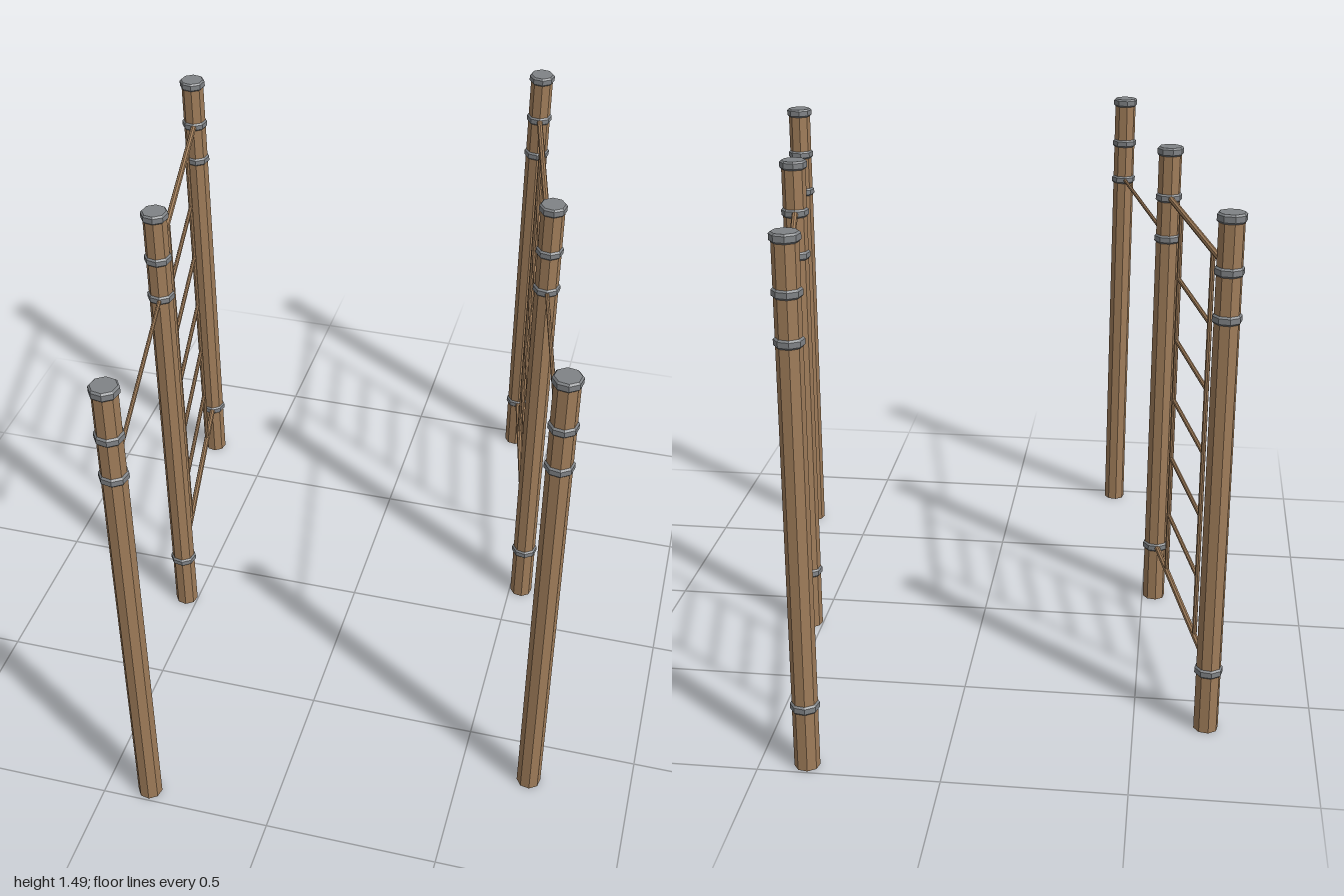
import * as THREE from 'three';

const wood = new THREE.MeshStandardMaterial({ color: 0xa07d5a, flatShading: true });
wood.name = 'brown wood';
const metal = new THREE.MeshStandardMaterial({ color: 0x808386, flatShading: true });
metal.name = 'grey metal';

const SPACING = 0.816; // distance between neighbouring posts
const POST_R = 0.035, RING_R = 0.04;
const LOW = 0.185, HIGH = 1.337, PULL_UP = 1.21;

function add(parent, name, geometry, material, x, y, z) {
  const mesh = new THREE.Mesh(geometry, material);
  mesh.name = name;
  mesh.position.set(x, y, z);
  parent.add(mesh);
  return mesh;
}

// Horizontal round bar running along z
function bar(parent, name, y, z0, z1, r) {
  const g = new THREE.CylinderGeometry(r, r, Math.abs(z1 - z0), 8).rotateX(Math.PI / 2);
  return add(parent, name, g, wood, 0, y, (z0 + z1) / 2);
}

// Eight-sided band with bevelled rims
function band(r, h) {
  const b = 0.005;
  const profile = [[0, -h / 2], [r - b, -h / 2], [r, -h / 2 + b], [r, h / 2 - b], [r - b, h / 2], [0, h / 2]];
  return new THREE.LatheGeometry(profile.map(([x, y]) => new THREE.Vector2(x, y)), 8);
}

function post(z, ringHeights) {
  const group = new THREE.Group();
  group.name = 'post';
  group.position.z = z;
  add(group, 'postShaft', new THREE.CylinderGeometry(POST_R, POST_R, 1.47, 8), wood, 0, 0.735, 0);
  add(group, 'postCap', band(RING_R, 0.026), metal, 0, 1.477, 0);
  for (const y of ringHeights) add(group, 'collar', band(RING_R, 0.025), metal, 0, y, 0);
  return group;
}

// Three posts in a row: wall bars behind, pull-up bar in front
function frame(name, x, z) {
  const group = new THREE.Group();
  group.name = name;
  group.add(post(-SPACING, [LOW, PULL_UP, HIGH]));
  group.add(post(0, [LOW, PULL_UP, HIGH]));
  group.add(post(SPACING, [PULL_UP, HIGH]));

  bar(group, 'pullUpBar', PULL_UP, 0, SPACING, 0.006);

  // Wall bars: two rails, two uprights and five rungs
  const ladder = new THREE.Group();
  ladder.name = 'wallBars';
  ladder.position.z = -SPACING / 2;
  const half = SPACING / 2, inner = 0.213;
  for (const y of [LOW, HIGH]) bar(ladder, 'rail', y, -half, half, 0.009);
  for (const s of [-1, 1]) {
    add(ladder, 'upright', new THREE.CylinderGeometry(0.007, 0.007, HIGH - LOW, 8), wood, 0, (LOW + HIGH) / 2, s * inner);
  }
  for (let i = 1; i <= 5; i++) bar(ladder, 'rung', LOW + i * 0.19, -inner, inner, 0.0065);
  group.add(ladder);

  group.position.set(x, 0, z);
  group.rotation.y = Math.atan2(0.167, 0.8);
  return group;
}

export function createModel() {
  const model = new THREE.Group();
  model.name = 'climbingFrames';
  model.add(frame('rightFrame', -0.537, 0.161));
  model.add(frame('leftFrame', 0.537, -0.161));
  return model;
}
